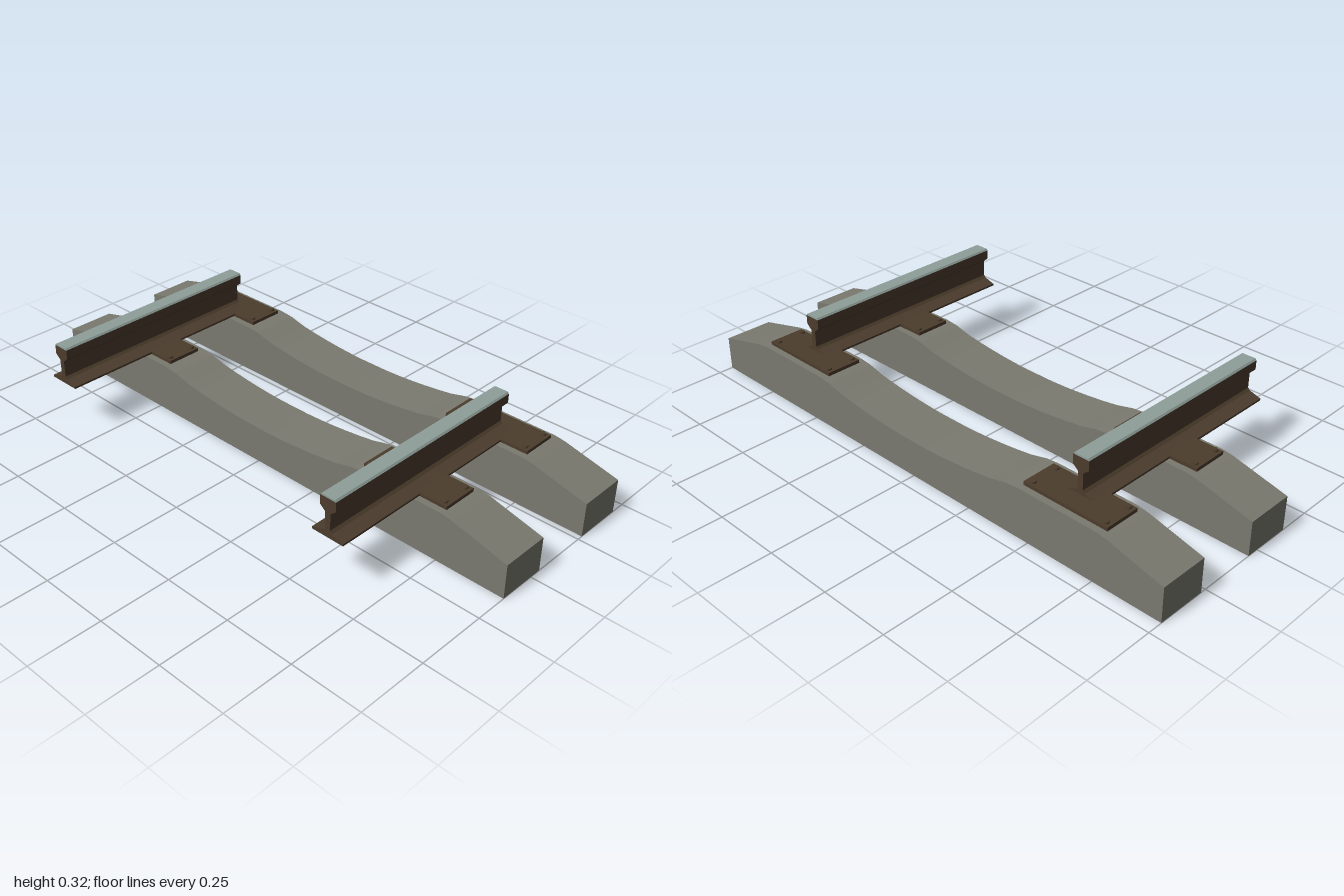
import * as THREE from 'three';

const material = (name, color) => {
  const m = new THREE.MeshStandardMaterial({ color });
  m.name = name;
  return m;
};

// Extrudes a (z, y) outline along x from x0 to x1
function extrudeAlongX(points, x0, x1) {
  const shape = new THREE.Shape(points.map(([z, y]) => new THREE.Vector2(z, y)));
  const geo = new THREE.ExtrudeGeometry(shape, { depth: x1 - x0, bevelEnabled: false });
  return geo.rotateY(-Math.PI / 2).translate(x1, 0, 0);
}

// Full outline from its +z half, listed from bottom to top
const mirrored = (half) => [...half, ...half.map(([z, y]) => [-z, y]).reverse()];

export function createModel() {
  const concrete = material('concrete', 0x7a7a70);
  const rust = material('rustySteel', 0x4c3d2d);
  const polished = material('polishedSteel', 0x8f9f9a);

  const model = new THREE.Group();
  model.name = 'railwayTrack';
  const add = (parent, name, geo, mat, x = 0, y = 0, z = 0) => {
    const mesh = new THREE.Mesh(geo, mat);
    mesh.name = name;
    mesh.position.set(x, y, z);
    parent.add(mesh);
  };

  // Sleeper side: sloping ends, flat rail seats, dished middle
  const side = [[1, 0], [1, 0.122], [0.8, 0.172], [0.76, 0.178], [0.46, 0.178], [0.41, 0.173]];
  for (let i = 6; i >= 1; i--) {
    const z = 0.345 * i / 6;
    side.push([z, 0.13 + 0.027 * (z / 0.345) ** 2]);
  }
  const sleeperGeo = extrudeAlongX(mirrored(side), -0.0885, 0.0885);

  // Rail: foot, web and head, with a worn bright cap on the head
  const railGeo = extrudeAlongX(mirrored([
    [0.06, 0.18], [0.06, 0.187], [0.018, 0.2], [0.01, 0.208],
    [0.01, 0.266], [0.03, 0.283], [0.03, 0.316],
  ]), -0.45, 0.357);
  const capGeo = extrudeAlongX(mirrored([[0.03, 0.316], [0.025, 0.322]]), -0.45, 0.357);

  const plateGeo = new THREE.BoxGeometry(0.13, 0.012, 0.32);
  const boltGeo = new THREE.CylinderGeometry(0.011, 0.013, 0.008, 8);
  const sleeperXs = [-0.046, 0.358];
  const railZs = [-0.62, 0.6];

  for (const x of sleeperXs) add(model, 'sleeper', sleeperGeo, concrete, x);

  for (const z of railZs) {
    const rail = new THREE.Group();
    rail.name = 'rail';
    rail.position.z = z;
    model.add(rail);
    add(rail, 'railBody', railGeo, rust);
    add(rail, 'railCap', capGeo, polished);

    // Base plates with a bolt near each corner
    for (const x of sleeperXs) {
      add(rail, 'basePlate', plateGeo, rust, x, 0.184, 0);
      for (const sx of [-1, 1]) for (const sz of [-1, 1]) {
        add(rail, 'bolt', boltGeo, rust, x + sx * 0.049, 0.192, sz * 0.138);
      }
    }
  }
  return model;
}
